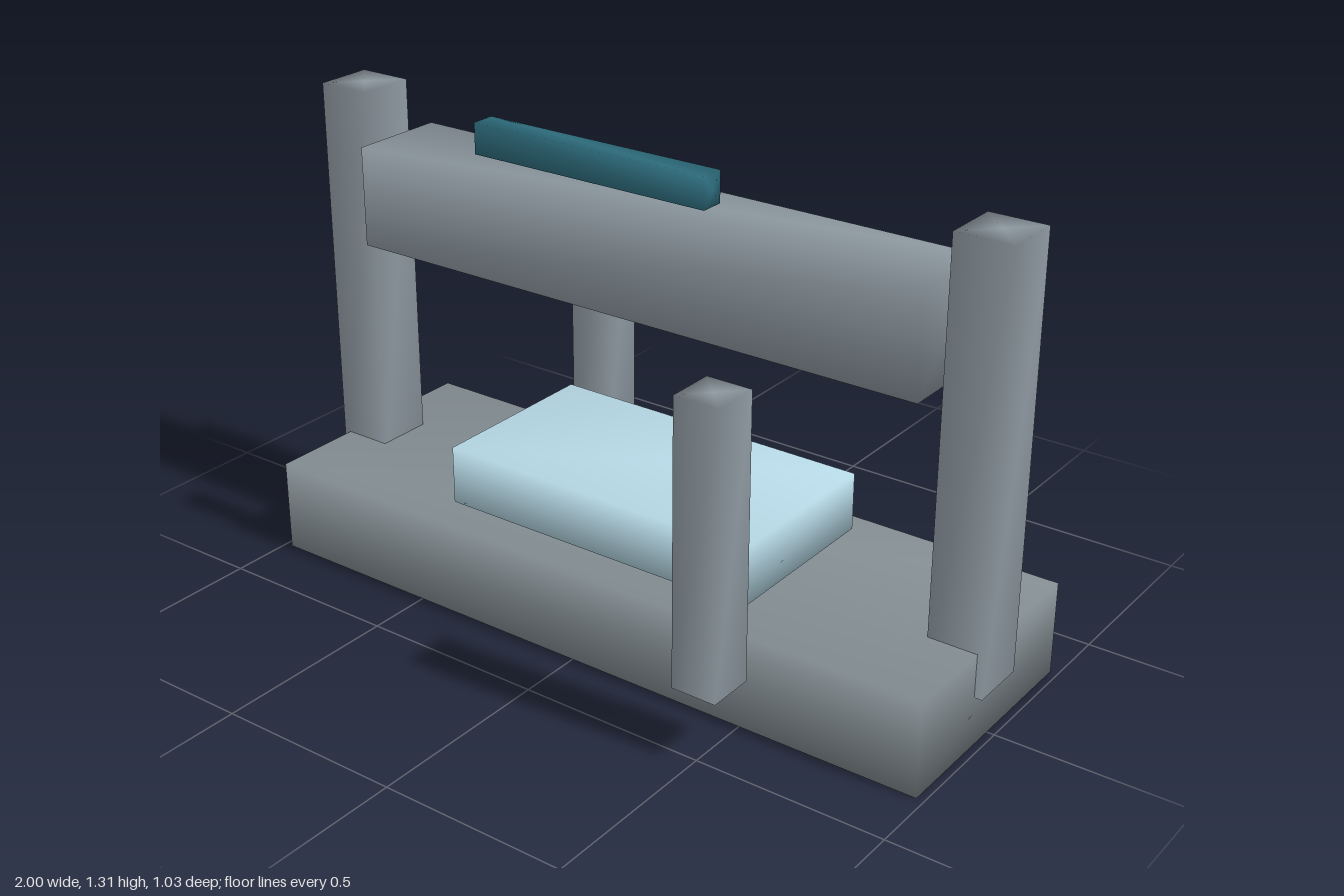
import * as THREE from 'three';
import { mergeVertices } from 'three/addons/utils/BufferGeometryUtils.js';

const material = (color) => new THREE.MeshStandardMaterial({ color });

// Share corners so the normals blend softly across the edges
function soften(geometry) {
  geometry.deleteAttribute('uv');
  geometry.deleteAttribute('normal');
  const merged = mergeVertices(geometry, 1e-4);
  merged.computeVertexNormals();
  return merged;
}

function block(name, size, position, mat) {
  const mesh = new THREE.Mesh(soften(new THREE.BoxGeometry(...size)), mat);
  mesh.name = name;
  mesh.position.set(...position);
  return mesh;
}

// Four-sided bar standing along y, with fan-shaped caps
function squareBar(name, [w, h, d], position, mat) {
  const geometry = new THREE.CylinderGeometry(Math.SQRT1_2, Math.SQRT1_2, h, 4);
  geometry.rotateY(Math.PI / 4);
  geometry.scale(w, 1, d);
  const mesh = new THREE.Mesh(soften(geometry), mat);
  mesh.name = name;
  mesh.position.set(...position);
  return mesh;
}

export function createModel() {
  const model = new THREE.Group();
  model.name = 'frame';
  const baseGrey = material(0x858f94);
  const steel = material(0x8f9aa2);
  const paleBlue = material(0xb8dbe8);
  const teal = material(0x2f6f80);

  // Base, raised plate and crossbeam
  model.add(block('base', [1.96, 0.25, 0.655], [0, 0.125, 0], baseGrey));
  model.add(block('plate', [0.9, 0.155, 0.485], [0, 0.343, 0], paleBlue));
  model.add(block('crossbeam', [1.64, 0.265, 0.265], [0, 0.987, 0], steel));

  // Tall end posts and the diagonally opposed short posts
  for (const side of [-1, 1]) {
    const label = side > 0 ? 'left' : 'right';
    model.add(squareBar(label + 'EndPost', [0.15, 1.11, 0.155], [side * 0.925, 0.69, 0], steel));
    model.add(squareBar(side > 0 ? 'frontPost' : 'backPost', [0.12, 0.733, 0.125],
      [side * 0.5, 0.547, side * 0.453], steel));
  }

  // Floating rail above the beam, laid along x
  const rail = squareBar('rail', [0.078, 0.66, 0.062], [0, 1.268, 0.22], teal);
  rail.rotation.z = Math.PI / 2;
  model.add(rail);

  return model;
}
